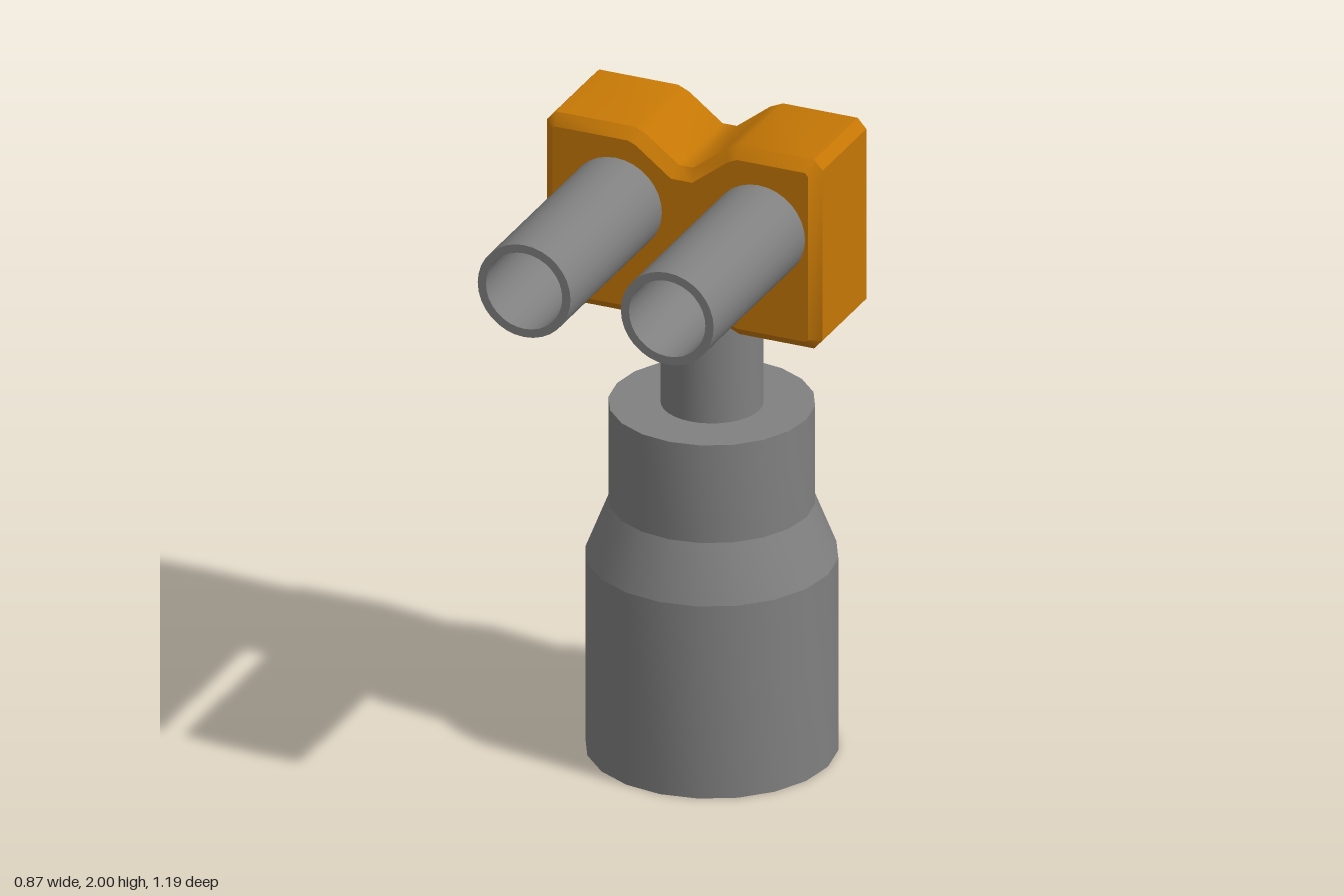
import * as THREE from 'three';
import { toCreasedNormals } from 'three/addons/utils/BufferGeometryUtils.js';

const grey = new THREE.MeshStandardMaterial({ color: 0x808080 });
const orange = new THREE.MeshStandardMaterial({ color: 0xc57705 });

const points = (list) => list.map(([x, y]) => new THREE.Vector2(x, y));

// Turned part: smooth around, sharp at the profile corners
function turned(name, profile, sides) {
  const geometry = toCreasedNormals(new THREE.LatheGeometry(points(profile), sides), 0.35);
  const mesh = new THREE.Mesh(geometry, grey);
  mesh.name = name;
  return mesh;
}

export function createModel() {
  const model = new THREE.Group();
  model.name = 'twinBarrelOnPost';

  // Shouldered base
  const base = turned('base', [
    [0, 0], [0.365, 0], [0.365, 0.61], [0.298, 0.78], [0.298, 1.09], [0, 1.09],
  ], 20);
  base.position.set(0.015, 0, -0.23);
  model.add(base);

  // Post joining base and block
  const post = turned('post', [[0, 1.05], [0.148, 1.05], [0.148, 1.6], [0, 1.6]], 32);
  post.position.set(0.016, 0, -0.229);
  model.add(post);

  // Bevelled block, notched above and below
  const outline = points([
    [-0.435, 1.435], [-0.408, 1.405], [-0.16, 1.405], [-0.125, 1.42], [-0.02, 1.495],
    [0.025, 1.495], [0.13, 1.418], [0.17, 1.4], [0.405, 1.4], [0.432, 1.43],
    [0.432, 1.97], [0.405, 2], [0.17, 2], [0.13, 1.982], [0.025, 1.9],
    [-0.02, 1.9], [-0.125, 1.98], [-0.16, 1.995], [-0.408, 1.995], [-0.435, 1.965],
  ]);
  const blockGeometry = new THREE.ExtrudeGeometry(new THREE.Shape(outline), {
    depth: 0.306, bevelEnabled: true, bevelSegments: 1,
    bevelThickness: 0.032, bevelSize: 0.032, bevelOffset: -0.032,
  });
  const block = new THREE.Mesh(toCreasedNormals(blockGeometry, 0.7), orange);
  block.name = 'block';
  block.position.z = -0.383;
  model.add(block);

  // Hollow barrels pointing forward
  for (const [name, x] of [['rightBarrel', -0.205], ['leftBarrel', 0.245]]) {
    const barrel = turned(name, [
      [0, -0.1], [0.146, -0.1], [0.146, 0.595], [0.12, 0.595], [0.12, 0], [0, 0],
    ], 32);
    barrel.rotation.x = Math.PI / 2;
    barrel.position.set(x, 1.755, 0);
    model.add(barrel);
  }

  return model;
}
